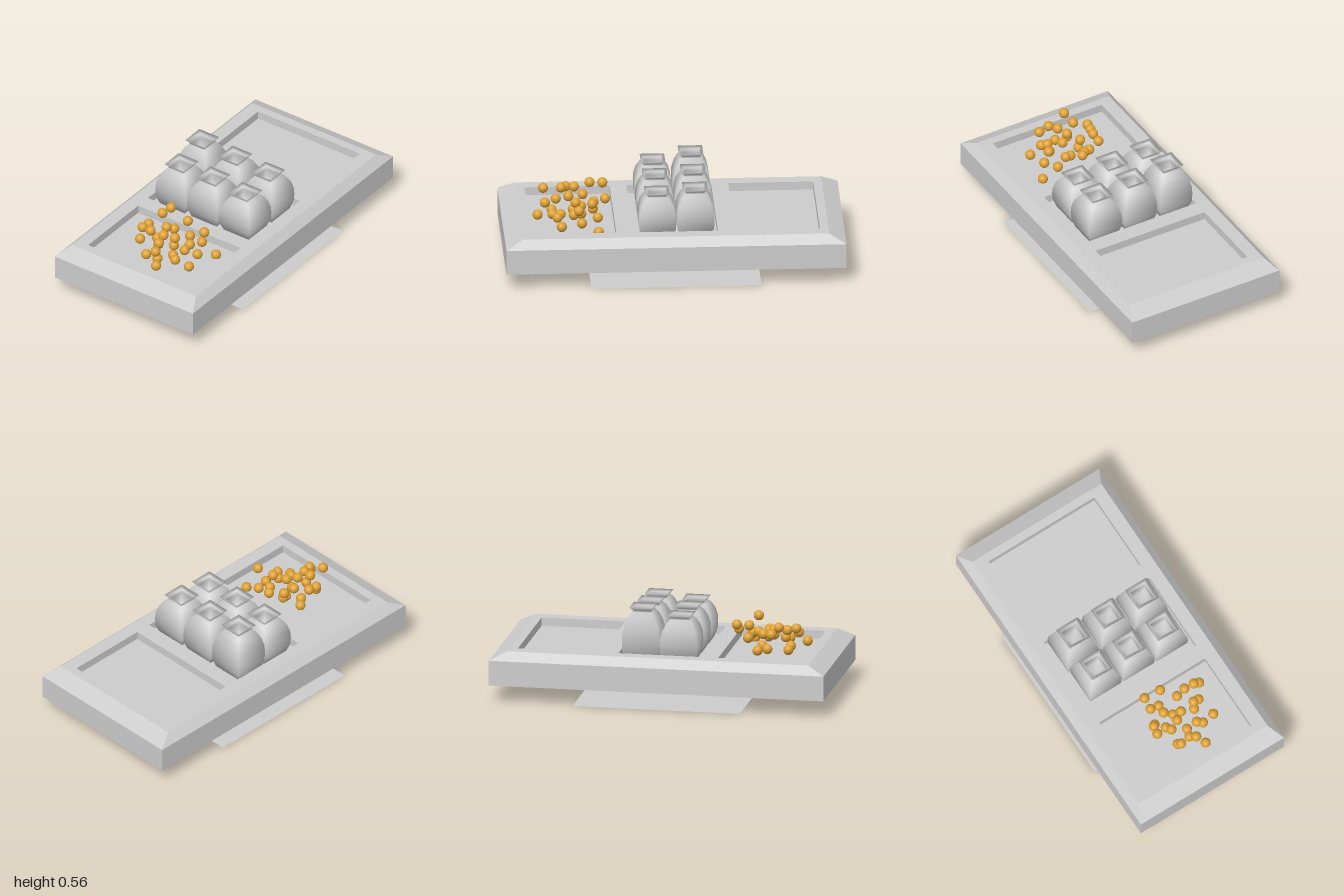
import * as THREE from 'three';

const stone = new THREE.MeshStandardMaterial({ color: 0xcccccc });
stone.name = 'pale grey';
const sheetGrey = new THREE.MeshStandardMaterial({ color: 0xcccccc, side: THREE.DoubleSide });
sheetGrey.name = 'pale grey sheet';
const gold = new THREE.MeshStandardMaterial({ color: 0xdda033 });
gold.name = 'gold';

function add(parent, name, geometry, material, x = 0, y = 0, z = 0) {
  const mesh = new THREE.Mesh(geometry, material);
  mesh.name = name;
  mesh.position.set(x, y, z);
  parent.add(mesh);
  return mesh;
}

function rectangle(path, hx, hy, cy = 0) {
  path.moveTo(-hx, cy - hy);
  path.lineTo(hx, cy - hy);
  path.lineTo(hx, cy + hy);
  path.lineTo(-hx, cy + hy);
  path.closePath();
  return path;
}

// Four sloping faces from the slab's edge up to the tray top
function bevelGeometry() {
  const ring = (hx, y, hz) => [[-hx, y, hz], [hx, y, hz], [hx, y, -hz], [-hx, y, -hz]];
  const low = ring(0.5, 0.25, 1), high = ring(0.45, 0.3, 0.9);
  const positions = [];
  for (let i = 0; i < 4; i++) {
    const j = (i + 1) % 4;
    positions.push(...low[i], ...low[j], ...high[j], ...low[i], ...high[j], ...high[i]);
  }
  const geometry = new THREE.BufferGeometry();
  geometry.setAttribute('position', new THREE.Float32BufferAttribute(positions, 3));
  geometry.computeVertexNormals();
  return geometry;
}

// Square jar: half width and height above its base, outside then inside
const jarProfile = [
  [0, 0], [0.09, 0], [0.107, 0.05], [0.11, 0.1], [0.107, 0.145], [0.095, 0.19],
  [0.075, 0.228], [0.057, 0.247], [0.052, 0.255], [0.072, 0.272],
  [0.052, 0.26], [0.05, 0.24], [0.05, 0.15], [0, 0.15],
];

// Jar positions: x, z, height of the lip
const jars = [
  [-0.247, -0.122, 0.565], [-0.007, -0.122, 0.544], [0.232, -0.122, 0.527],
  [-0.235, 0.102, 0.523], [-0.004, 0.102, 0.523], [0.228, 0.102, 0.506],
];

// Ball centres: x, y, z
const balls = [
  [-0.09, 0.435, 0.405], [0.025, 0.38, 0.395], [-0.027, 0.34, 0.46], [-0.097, 0.435, 0.48],
  [0.095, 0.345, 0.47], [0.163, 0.315, 0.445], [0.265, 0.265, 0.445], [0.205, 0.42, 0.48],
  [-0.1, 0.285, 0.53], [-0.035, 0.385, 0.525], [0.025, 0.285, 0.535], [-0.132, 0.395, 0.57],
  [-0.055, 0.285, 0.58], [0.058, 0.37, 0.57], [0.2, 0.295, 0.54], [0.155, 0.355, 0.555],
  [0.14, 0.325, 0.585], [-0.14, 0.395, 0.62], [0.005, 0.39, 0.61], [-0.06, 0.42, 0.65],
  [0.11, 0.32, 0.66], [0.14, 0.31, 0.68], [0.225, 0.285, 0.66], [0.025, 0.385, 0.685],
  [0.03, 0.29, 0.705], [-0.052, 0.285, 0.705], [-0.06, 0.42, 0.755], [0.048, 0.37, 0.75],
  [0.085, 0.31, 0.795],
];

export function createModel() {
  const model = new THREE.Group();
  model.name = 'tray with jars';

  // Thin sheet on the ground
  add(model, 'groundSheet', new THREE.PlaneGeometry(1, 1).rotateX(-Math.PI / 2), sheetGrey);

  // Slab; its top face is the floor of the recesses
  add(model, 'slab', new THREE.BoxGeometry(1, 0.15, 2), stone, 0, 0.175, 0);
  add(model, 'bevel', bevelGeometry(), stone);

  // Tray top with three rectangular recesses
  const top = rectangle(new THREE.Shape(), 0.45, 0.9);
  for (const cy of [-0.597, 0, 0.6]) top.holes.push(rectangle(new THREE.Path(), 0.37, 0.25, cy));
  const topGeometry = new THREE.ExtrudeGeometry(top, { depth: 0.05, bevelEnabled: false });
  add(model, 'trayTop', topGeometry.rotateX(-Math.PI / 2), stone, 0, 0.25, 0);

  // Two rows of smooth-shaded jars in the middle recess
  const jarGroup = new THREE.Group();
  jarGroup.name = 'jars';
  model.add(jarGroup);
  const points = jarProfile.map(([r, y]) => new THREE.Vector2(r * Math.SQRT2, y));
  const jarGeometry = new THREE.LatheGeometry(points, 4, Math.PI / 4);
  for (const [x, z, lip] of jars) {
    add(jarGroup, 'jar', jarGeometry, stone, x, 0.25, z).scale.y = (lip - 0.25) / 0.272;
  }

  // Loose balls over the front recess
  const ballGroup = new THREE.Group();
  ballGroup.name = 'balls';
  model.add(ballGroup);
  const ballGeometry = new THREE.SphereGeometry(0.03, 20, 14);
  for (const [x, y, z] of balls) add(ballGroup, 'ball', ballGeometry, gold, x, y, z);

  return model;
}
